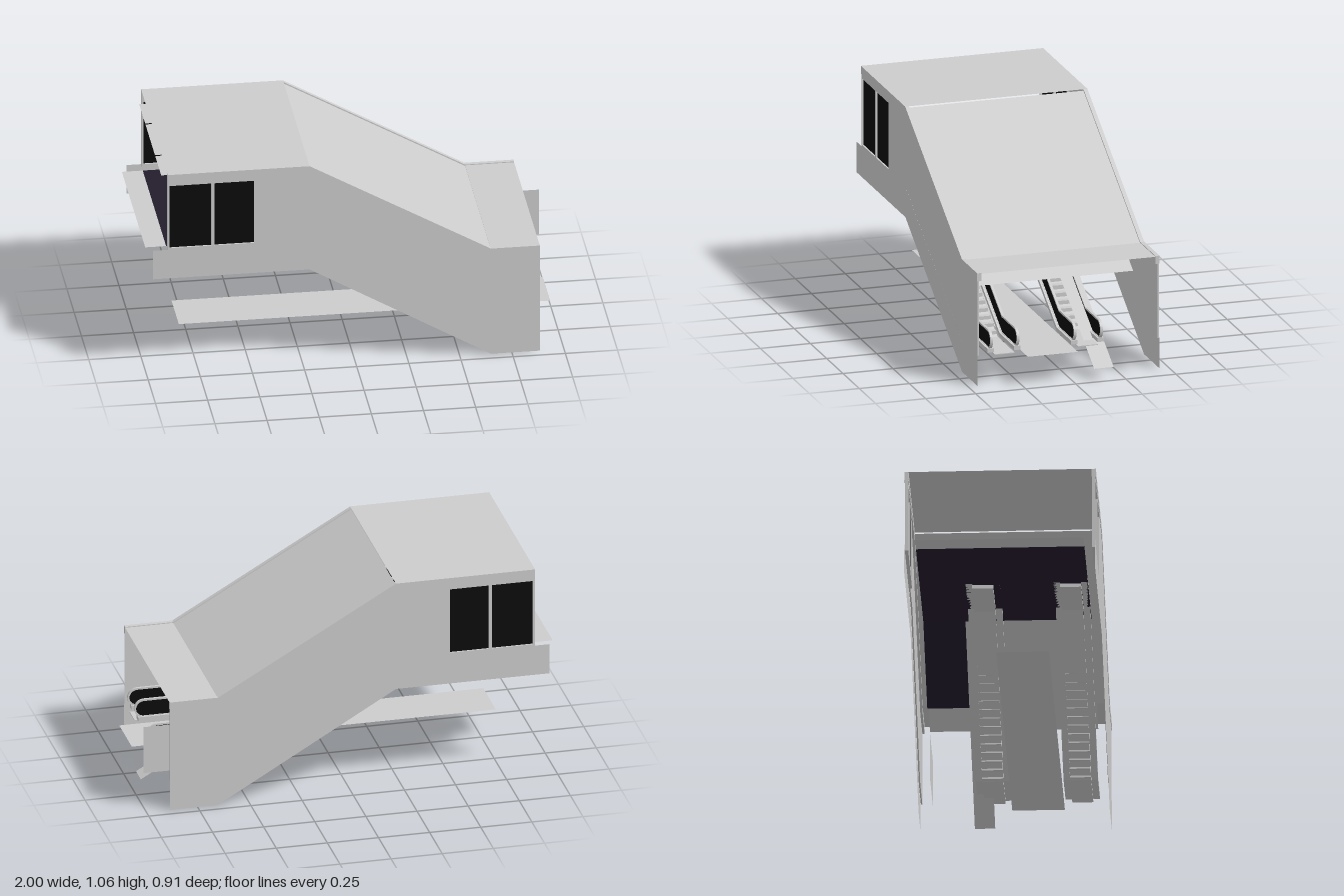
import * as THREE from 'three';

const mat = (color) => new THREE.MeshStandardMaterial({ color, side: THREE.DoubleSide, flatShading: true });
const grey = mat(0xcccccc), black = mat(0x0b0b0b), purple = mat(0x241c2c);

function add(parent, name, geometry, material = grey) {
  const m = new THREE.Mesh(geometry, material);
  m.name = name;
  parent.add(m);
  return m;
}

// Side profile shape pushed out along z from z0 to z1
function slab(shape, z0, z1) {
  const g = new THREE.ExtrudeGeometry(shape, { depth: z1 - z0, bevelEnabled: false, curveSegments: 10 });
  return g.translate(0, 0, z0);
}
const shapeOf = (pts) => new THREE.Shape(pts.map(([x, y]) => new THREE.Vector2(x, y)));

// Band between a path shifted by lo and the same path shifted by hi
const band = (path, lo, hi) => shapeOf([
  ...path.map(([x, y]) => [x, y + lo]),
  ...[...path].reverse().map(([x, y]) => [x, y + hi]),
]);

// Open sheet: a side path swept across z0..z1
function sheet(path, z0, z1) {
  const pos = [], idx = [];
  path.forEach(([x, y], i) => {
    pos.push(x, y, z1, x, y, z0);
    if (i) idx.push(2 * i - 2, 2 * i, 2 * i - 1, 2 * i - 1, 2 * i, 2 * i + 1);
  });
  const g = new THREE.BufferGeometry();
  g.setAttribute('position', new THREE.Float32BufferAttribute(pos, 3));
  g.setIndex(idx);
  g.computeVertexNormals();
  return g;
}

const roofPath = [[-0.9, 1.06], [-0.22, 1.06], [0.65, 0.56], [0.885, 0.56]];
const skirtPath = [[-0.97, 0.51], [-0.22, 0.51], [0.65, 0], [0.885, 0]];
const walkPath = [[-0.5, 0.655], [-0.22, 0.655], [0.65, 0.155], [0.84, 0.155]];

// One side wall, built on the +z side and mirrored by moving its z range
function sideWall(s) {
  const wall = new THREE.Group();
  wall.name = s > 0 ? 'frontWall' : 'backWall';
  const zr = (outer, inner) => (s > 0 ? [inner, outer] : [-outer, -inner]);
  add(wall, 'roofRim', slab(band(roofPath, -0.04, 0), ...zr(0.455, 0.435)));
  add(wall, 'wallPanel', slab(shapeOf([
    [-0.47, 0.66], [-0.22, 0.66], [0.65, 0.15], [0.885, 0.15],
    [0.885, 0.52], [0.65, 0.52], [-0.22, 1.02], [-0.47, 1.02],
  ]), ...zr(0.453, 0.446)));
  const skirt = add(wall, 'lowerSkirt', new THREE.ShapeGeometry(band(skirtPath, 0, 0.152)));
  skirt.position.z = s * 0.454;
  // Window frame with two dark panes
  const frame = shapeOf([[-0.9, 0.65], [-0.47, 0.65], [-0.47, 1.03], [-0.9, 1.03]]);
  for (const [a, b] of [[-0.89, -0.69], [-0.675, -0.485]]) {
    const pane = [[a, 0.67], [b, 0.67], [b, 1], [a, 1]];
    frame.holes.push(shapeOf(pane));
    add(wall, 'windowPane', new THREE.ShapeGeometry(shapeOf(pane), 1), black).position.z = s * 0.445;
  }
  add(wall, 'windowFrame', slab(frame, ...zr(0.453, 0.437)));
  return wall;
}

// Round-ended loop that follows the escalator slope
function loopShape(r, Type = THREE.Shape) {
  const c = walkPath.map(([x, y]) => [x, y + 0.06]);
  const s = new Type();
  s.moveTo(c[0][0], c[0][1] - r);
  c.slice(1).forEach(([x, y]) => s.lineTo(x, y - r));
  s.absarc(c[3][0], c[3][1], r, -Math.PI / 2, Math.PI / 2, false);
  [...c].reverse().slice(1).forEach(([x, y]) => s.lineTo(x, y + r));
  s.absarc(c[0][0], c[0][1], r, Math.PI / 2, 1.5 * Math.PI, false);
  return s;
}

function escalator(zc) {
  const e = new THREE.Group();
  e.name = 'escalator';
  e.position.z = zc;
  // Stepped run between two flat landings
  const steps = 20, pts = [[-0.5, 0.63], [-0.5, 0.648], [-0.22, 0.648]];
  for (let i = 1; i <= steps; i++) {
    const x = -0.22 + (0.87 * (i - 1)) / steps, y = 0.648 - (0.5 * i) / steps;
    pts.push([x, y], [x + 0.87 / steps, y]);
  }
  pts.push([0.88, 0.148], [0.88, 0.144], [0.63, 0.144], [-0.24, 0.63]);
  add(e, 'steps', slab(shapeOf(pts), -0.05, 0.05));
  const skirtLine = walkPath.map(([x, y], i) => [i === 3 ? 0.87 : x, y]);
  for (const s of [-1, 1]) {
    add(e, 'skirting', slab(band(skirtLine, 0, 0.02), s > 0 ? 0.05 : -0.082, s > 0 ? 0.082 : -0.05));
    add(e, 'balustradePanel', slab(loopShape(0.038), s * 0.066 - 0.002, s * 0.066 + 0.002), black);
    const rail = loopShape(0.047);
    rail.holes.push(loopShape(0.038, THREE.Path));
    add(e, 'handrail', slab(rail, s * 0.066 - 0.006, s * 0.066 + 0.006));
  }
  return e;
}

export function createModel() {
  const model = new THREE.Group();
  model.name = 'escalatorEntrance';

  model.add(sideWall(1), sideWall(-1));

  // Roof: upper flat, slope set just below the rims, lower flat
  add(model, 'upperRoof', sheet([roofPath[0], roofPath[1]], -0.455, 0.455));
  add(model, 'slopedRoof', sheet([[-0.22, 1.053], [0.65, 0.553]], -0.436, 0.436));
  add(model, 'lowerRoof', sheet([[0.65, 0.556], [0.885, 0.556]], -0.436, 0.436));
  add(model, 'slopedCeiling', sheet([[-0.22, 0.92], [0.65, 0.42]], -0.4, 0.4));

  // Narrow canopy pieces over the upper doorway
  for (const [a, b] of [[-0.38, -0.175], [-0.165, 0.16], [0.17, 0.375]])
    add(model, 'doorCanopy', sheet([[-0.92, 1.02], [-0.88, 1.02]], a, b));

  // Upper landing and its threshold
  add(model, 'landingFloor', sheet([[-0.9, 0.655], [-0.08, 0.655]], -0.4, 0.4), purple);
  add(model, 'threshold', sheet([[-1, 0.655], [-0.9, 0.655]], -0.4, 0.4));
  add(model, 'slopedFloor', sheet([[-0.08, 0.655], [0.356, 0.405]], -0.4, -0.18), purple);

  model.add(escalator(0.317), escalator(-0.1));

  // Loose floor strips and the lower side panel
  add(model, 'floorStrip', sheet([[-0.815, 0.147], [0.965, 0.147]], -0.022, 0.228));
  add(model, 'slopedStrip', sheet([[-0.08, 0.655], [0.965, 0.055]], -0.2, -0.103));
  add(model, 'lowerSidePanel', new THREE.PlaneGeometry(0.35, 0.24)).position.set(0.825, 0.3, -0.4);

  return model;
}
